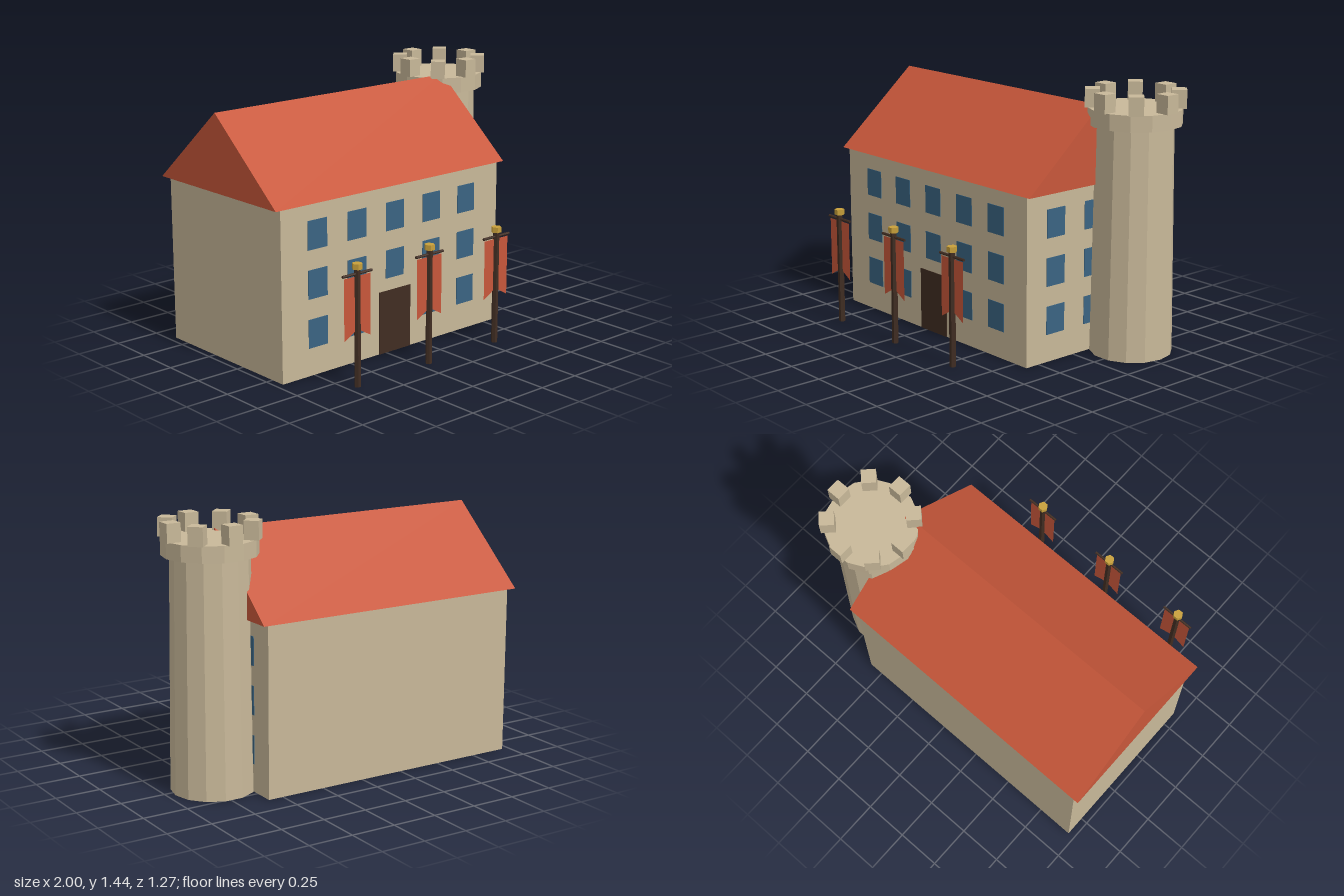
import * as THREE from 'three';

const mat = (name, color, extra = {}) => {
  const m = new THREE.MeshStandardMaterial({ color, flatShading: true, ...extra });
  m.name = name;
  return m;
};

export function createModel() {
  const stone = mat('stone', 0xc8b899);
  const red = mat('red', 0xc8573a);
  const cloth = red.clone();
  cloth.side = THREE.DoubleSide;
  const glass = mat('window blue', 0x3a6482);
  const wood = mat('dark wood', 0x402d22);
  const gold = mat('gold', 0xc8a03a);

  const model = new THREE.Group();
  const add = (parent, name, geometry, material, x = 0, y = 0, z = 0) => {
    const mesh = new THREE.Mesh(geometry, material);
    mesh.name = name;
    mesh.position.set(x, y, z);
    parent.add(mesh);
    return mesh;
  };
  const group = (name, x, y, z) => {
    const g = new THREE.Group();
    g.name = name;
    g.position.set(x, y, z);
    model.add(g);
    return g;
  };

  // Main hall
  const wallH = 0.928, midZ = -0.139, frontZ = 0.336, rightX = 0.585;
  add(model, 'hall', new THREE.BoxGeometry(1.545, wallH, 0.95), stone, -0.1875, wallH / 2, midZ);

  // Gabled roof: triangle swept along x
  const gable = new THREE.Shape([
    new THREE.Vector2(-0.493, 0), new THREE.Vector2(0.493, 0), new THREE.Vector2(0, 0.425),
  ]);
  const roof = new THREE.ExtrudeGeometry(gable, { depth: 1.62, bevelEnabled: false }).rotateY(Math.PI / 2);
  add(model, 'roof', roof, red, -1, wallH, midZ - 0.002);

  // Windows on the front and right walls; the door takes the middle ground-floor bay
  const rows = [0.231, 0.497, 0.76];
  const frontPane = new THREE.BoxGeometry(0.128, 0.156, 0.006);
  const sidePane = new THREE.BoxGeometry(0.006, 0.156, 0.127);
  rows.forEach((y, row) => {
    [-0.722, -0.455, -0.187, 0.08, 0.342].forEach((x, col) => {
      if (row === 0 && col === 2) return;
      add(model, 'frontWindow', frontPane, glass, x, y, frontZ);
    });
    [0.133, -0.138, -0.409].forEach((z) => add(model, 'sideWindow', sidePane, glass, rightX, y, z));
  });
  add(model, 'door', new THREE.BoxGeometry(0.225, 0.35, 0.008), wood, -0.187, 0.175, frontZ);

  // Round tower with a collar and eight merlons
  const tower = group('tower', 0.732, 0, -0.292);
  const drum = (top, bottom, h) => new THREE.CylinderGeometry(top, bottom, h, 14).rotateY(Math.PI / 2);
  add(tower, 'towerShaft', drum(0.208, 0.225, 1.253), stone, 0, 0.6265, 0);
  add(tower, 'towerCollar', drum(0.252, 0.252, 0.087), stone, 0, 1.2965, 0);
  const merlon = new THREE.BoxGeometry(0.079, 0.1, 0.079);
  for (let i = 0; i < 8; i++) {
    const a = (i * Math.PI) / 4;
    const m = add(tower, 'merlon', merlon, stone, Math.cos(a) * 0.226, 1.389, Math.sin(a) * 0.226);
    m.rotation.y = -a;
  }

  // Swallow-tailed banners on poles in front of the hall
  const hex = (r, h) => new THREE.CylinderGeometry(r, r, h, 6).rotateY(Math.PI / 2);
  const poleGeo = hex(0.0175, 0.63);
  const finialGeo = hex(0.028, 0.03);
  const barGeo = new THREE.CylinderGeometry(0.0075, 0.0075, 0.196, 6).rotateZ(Math.PI / 2);
  const flagGeo = new THREE.ShapeGeometry(new THREE.Shape([
    [-0.088, 0.592], [-0.088, 0.26], [0, 0.31], [0.088, 0.26], [0.088, 0.592],
  ].map(([x, y]) => new THREE.Vector2(x, y))));
  for (const x of [-0.69, -0.19, 0.308]) {
    const stand = group('bannerStand', x, 0, 0.609);
    add(stand, 'pole', poleGeo, wood, 0, 0.315, 0);
    add(stand, 'finial', finialGeo, gold, 0, 0.645, 0);
    add(stand, 'crossbar', barGeo, wood, 0, 0.605, 0);
    add(stand, 'banner', flagGeo, cloth);
  }

  return model;
}
